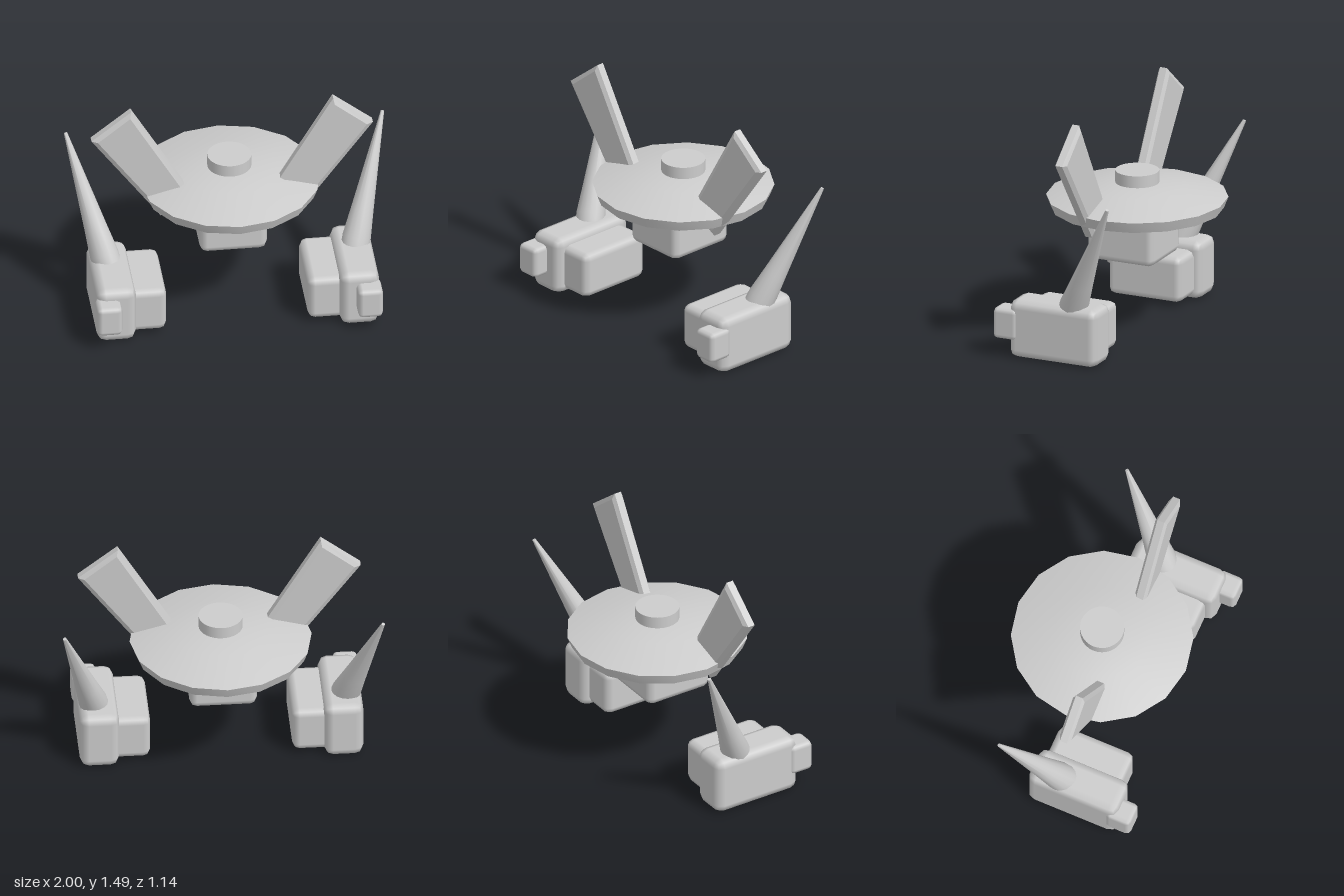
import * as THREE from 'three';
import { toCreasedNormals } from 'three/addons/utils/BufferGeometryUtils.js';
import { RoundedBoxGeometry } from 'three/addons/geometries/RoundedBoxGeometry.js';

const grey = new THREE.MeshStandardMaterial({ color: 0xcccccc });
grey.name = 'plain grey';

function part(name, geometry, parent) {
  const mesh = new THREE.Mesh(geometry, grey);
  mesh.name = name;
  parent.add(mesh);
  return mesh;
}

// Bevelled box given by its extents along each axis
function block(name, [x0, x1], [y0, y1], [z0, z1], bevel, parent) {
  const mesh = part(name, new RoundedBoxGeometry(x1 - x0, y1 - y0, z1 - z0, 1, bevel), parent);
  mesh.position.set((x0 + x1) / 2, (y0 + y1) / 2, (z0 + z1) / 2);
}

function lathe(points, sides) {
  return new THREE.LatheGeometry(points.map(([r, y]) => new THREE.Vector2(r, y)), sides);
}

// Tapered slab with bevelled edges, slanting up and outwards
function wing(side, parent) {
  const corners = [[0.234, 0.815], [0.445, 0.705], [0.877, 1.293], [0.63, 1.49]];
  const shape = new THREE.Shape(corners.map(([x, y]) => new THREE.Vector2(side * x, y)));
  const thickness = 0.078, bevel = 0.016;
  const geometry = new THREE.ExtrudeGeometry(shape, {
    depth: thickness - 2 * bevel, bevelThickness: bevel,
    bevelSize: 0.028, bevelOffset: -0.028, bevelSegments: 1,
  });
  geometry.translate(0, 0, 0.115 - thickness / 2 + bevel);
  part('wing', geometry, parent);
}

// Spike leaning back and outwards from the top of the foot
function horn(side, parent) {
  const base = new THREE.Vector3(side * 0.78, 0.36, 0.06);
  const tip = new THREE.Vector3(side * 0.988, 1.095, -0.27);
  const axis = tip.clone().sub(base);
  const length = axis.length();
  const profile = [[0, -0.06], [0.088, -0.06], [0.09, 0.03], [0.072, 0.2], [0.011, length], [0, length]];
  const mesh = part('horn', toCreasedNormals(lathe(profile, 16), 0.8), parent);
  mesh.position.copy(base);
  mesh.quaternion.setFromUnitVectors(new THREE.Vector3(0, 1, 0), axis.normalize());
}

export function createModel() {
  const model = new THREE.Group();
  model.name = 'saucerRobot';

  // Saucer and its cap
  const saucer = [[0, 0.74], [0.25, 0.752], [0.538, 0.793], [0.565, 0.863], [0.30, 0.935], [0.12, 0.955], [0, 0.958]];
  part('saucer', toCreasedNormals(lathe(saucer, 16), 0.7), model).position.z = -0.006;
  part('cap', new THREE.CylinderGeometry(0.137, 0.137, 0.11, 32), model).position.set(0, 0.975, -0.006);

  // Hanging body
  block('body', [-0.213, 0.207], [0.47, 0.765], [-0.205, 0.25], 0.045, model);

  // Wings, feet and horns on both sides
  for (const side of [1, -1]) {
    const span = (a, b) => (side > 0 ? [a, b] : [-b, -a]);
    const foot = new THREE.Group();
    foot.name = side > 0 ? 'leftFoot' : 'rightFoot';
    model.add(foot);
    block('footOuter', span(0.635, 0.88), [0, 0.375], [-0.135, 0.465], 0.055, foot);
    block('footInner', span(0.44, 0.72), [0.03, 0.325], [-0.09, 0.41], 0.045, foot);
    block('toe', span(0.735, 0.89), [0.115, 0.315], [0.4, 0.565], 0.03, foot);
    horn(side, foot);
    wing(side, model);
  }
  return model;
}
